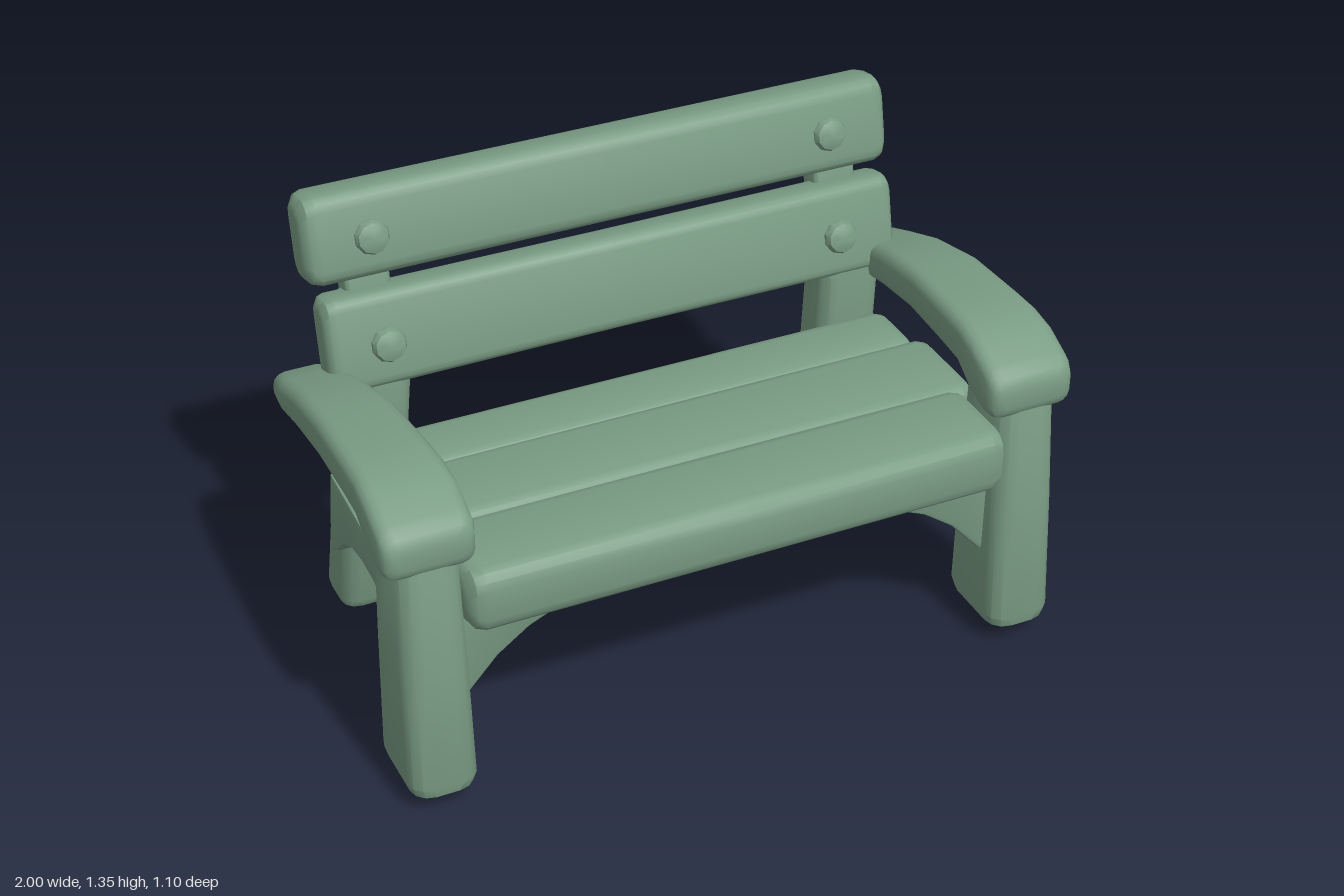
import * as THREE from 'three';
import { toCreasedNormals } from 'three/addons/utils/BufferGeometryUtils.js';

// Rounded timber: sections are [t, centreA, centreB, halfA, halfB] along an axis,
// where (t, a, b) is (x, y, z), (y, z, x) or (z, x, y). Corners and ends are rounded by r.
function timber(axis, sections, r) {
  const t0 = sections[0][0], t1 = sections[sections.length - 1][0];
  const sample = (t) => {
    let i = 0;
    while (i < sections.length - 2 && t > sections[i + 1][0]) i++;
    const a = sections[i], b = sections[i + 1], k = (t - a[0]) / (b[0] - a[0]);
    return a.map((v, j) => v + (b[j] - v) * k);
  };
  const inner = sections.map((s) => s[0]).filter((t) => t > t0 + r && t < t1 - r);
  const rings = [[t0, r], [t0 + 0.1 * r, 0.55 * r], [t0 + 0.45 * r, 0.15 * r], [t0 + r, 0],
    ...inner.map((t) => [t, 0]),
    [t1 - r, 0], [t1 - 0.45 * r, 0.15 * r], [t1 - 0.1 * r, 0.55 * r], [t1, r]];
  const pos = [], index = [], n = 16;
  const put = (t, a, b) => {
    if (axis === 'x') pos.push(t, a, b);
    else if (axis === 'y') pos.push(b, t, a);
    else pos.push(a, b, t);
  };
  for (const [t, inset] of rings) {
    const [, ca, cb, fa, fb] = sample(t);
    const ha = fa - Math.min(inset, fa * 0.7), hb = fb - Math.min(inset, fb * 0.7);
    const cr = Math.min(r, ha * 0.8, hb * 0.8);
    for (let q = 0; q < 4; q++) {
      const sa = q === 0 || q === 3 ? 1 : -1, sb = q < 2 ? 1 : -1;
      for (let j = 0; j < 4; j++) {
        const w = (q + j / 3) * Math.PI / 2;
        put(t, ca + sa * (ha - cr) + Math.cos(w) * cr, cb + sb * (hb - cr) + Math.sin(w) * cr);
      }
    }
  }
  for (let k = 0; k < rings.length - 1; k++) {
    for (let i = 0; i < n; i++) {
      const a = k * n + i, b = k * n + (i + 1) % n;
      index.push(a, b, b + n, a, b + n, a + n);
    }
  }
  const last = (rings.length - 1) * n;
  for (let i = 1; i < n - 1; i++) {
    index.push(0, i + 1, i, last, last + i, last + i + 1);
  }
  const g = new THREE.BufferGeometry();
  g.setAttribute('position', new THREE.Float32BufferAttribute(pos, 3));
  g.setIndex(index);
  return toCreasedNormals(g, 0.6);
}

// Curved brace cut from a board, centred on its thickness
function board(points, thickness) {
  const shape = new THREE.Shape(points.map(([x, y]) => new THREE.Vector2(x, y)));
  const bevel = 0.012;
  const g = new THREE.ExtrudeGeometry(shape, {
    depth: thickness - 2 * bevel, bevelEnabled: true, bevelSize: bevel,
    bevelThickness: bevel, bevelOffset: -bevel, bevelSegments: 2,
  });
  g.translate(0, 0, bevel - thickness / 2);
  return toCreasedNormals(g, 0.5);
}

export function createModel() {
  const bench = new THREE.Group();
  bench.name = 'bench';
  const green = new THREE.MeshStandardMaterial({ color: 0x7a9c84 });
  green.name = 'sage green';
  const add = (name, geometry, x = 0, y = 0, z = 0) => {
    const mesh = new THREE.Mesh(geometry, green);
    mesh.name = name;
    mesh.position.set(x, y, z);
    bench.add(mesh);
    return mesh;
  };

  // Seat planks
  add('frontSeatPlank', timber('x', [[-0.79, 0.635, 0.405, 0.095, 0.145], [0, 0.635, 0.405, 0.093, 0.148],
    [0.79, 0.635, 0.405, 0.095, 0.145]], 0.05));
  add('middleSeatPlank', timber('x', [[-0.86, 0.613, 0.09, 0.083, 0.147], [0, 0.613, 0.095, 0.083, 0.152],
    [0.86, 0.613, 0.1, 0.083, 0.157]], 0.045));
  add('rearSeatPlank', timber('x', [[-0.85, 0.587, -0.178, 0.075, 0.112], [0.85, 0.587, -0.178, 0.075, 0.112]], 0.045));

  // Backrest planks, leaning back
  const lean = -0.2;
  add('lowerBackPlank', timber('x', [[-0.85, 0, 0, 0.138, 0.064], [0, 0, 0, 0.136, 0.062],
    [0.878, 0, 0, 0.138, 0.064]], 0.035), 0, 0.932, -0.352).rotation.x = lean;
  add('upperBackPlank', timber('x', [[-0.87, 0, 0, 0.128, 0.076], [0, 0, 0, 0.128, 0.075],
    [0.888, 0, 0, 0.128, 0.077]], 0.045), 0, 1.215, -0.448).rotation.x = lean;

  // Domed bolts
  const boltProfile = [[0.048, -0.03], [0.05, 0.01], [0.043, 0.024], [0.025, 0.031], [0, 0.033]]
    .map(([x, y]) => new THREE.Vector2(x, y));
  const boltGeometry = toCreasedNormals(new THREE.LatheGeometry(boltProfile, 10), 0.6);
  for (const x of [-0.682, 0.695]) {
    add('lowerBolt', boltGeometry, x, 0.935, -0.285).rotation.x = Math.PI / 2 + lean;
    add('upperBolt', boltGeometry, x, 1.223, -0.375).rotation.x = Math.PI / 2 + lean;
  }

  const sideBrace = board([[0.32, 0.52], [-0.35, 0.52], [-0.4, 0.22], [-0.34, 0.26], [-0.27, 0.325],
    [-0.18, 0.375], [-0.08, 0.395], [0.02, 0.397], [0.12, 0.38], [0.2, 0.345], [0.27, 0.285], [0.32, 0.25]], 0.1);
  const frontBrace = board([[0.83, 0.57], [0.38, 0.57], [0.4, 0.535], [0.5, 0.495], [0.59, 0.455],
    [0.68, 0.39], [0.77, 0.29], [0.83, 0.25]], 0.1);

  for (const s of [-1, 1]) {
    const side = s > 0 ? 'left' : 'right';
    // Legs; the left back post stands slightly further out
    const foot = s > 0 ? 0.772 : -0.74, strut = s > 0 ? 0.725 : -0.695;
    add(side + 'FrontLeg', timber('y', [[0.035, 0.41, 0.872 * s, 0.142, 0.097],
      [0.45, 0.4, 0.872 * s, 0.127, 0.093], [0.87, 0.387, 0.872 * s, 0.109, 0.086]], 0.055));
    add(side + 'BackPost', timber('y', [[0, -0.462, foot, 0.092, 0.094], [0.4, -0.408, foot - 0.015 * s, 0.083, 0.093],
      [0.8, -0.352, foot - 0.03 * s, 0.077, 0.094], [0.98, -0.385, foot - 0.03 * s, 0.07, 0.094],
      [1.06, -0.395, foot - 0.03 * s, 0.06, 0.09]], 0.045));
    add(side + 'BackStrut', timber('y', [[0.98, -0.402, strut, 0.045, 0.066],
      [1.2, -0.45, strut, 0.045, 0.066]], 0.02));
    // Braces
    add(side + 'SideBrace', sideBrace, 0.82 * s).rotation.y = -Math.PI / 2 + s * 0.04;
    add(side + 'FrontBrace', frontBrace, 0, 0, 0.4).rotation.y = s > 0 ? 0 : Math.PI;
    // Curved armrest, tapering to the back
    add(side + 'Armrest', timber('z', [
      [-0.475, 0.893 * s, 0.768, 0.06, 0.032], [-0.43, 0.89 * s, 0.785, 0.08, 0.046],
      [-0.35, 0.888 * s, 0.805, 0.092, 0.053], [-0.2, 0.884 * s, 0.85, 0.102, 0.06],
      [0, 0.88 * s, 0.886, 0.112, 0.064], [0.2, 0.875 * s, 0.89, 0.12, 0.066],
      [0.3, 0.873 * s, 0.888, 0.124, 0.067], [0.38, 0.872 * s, 0.857, 0.128, 0.08],
      [0.46, 0.872 * s, 0.824, 0.128, 0.075], [0.513, 0.872 * s, 0.81, 0.126, 0.06]], 0.035));
  }
  return bench;
}
